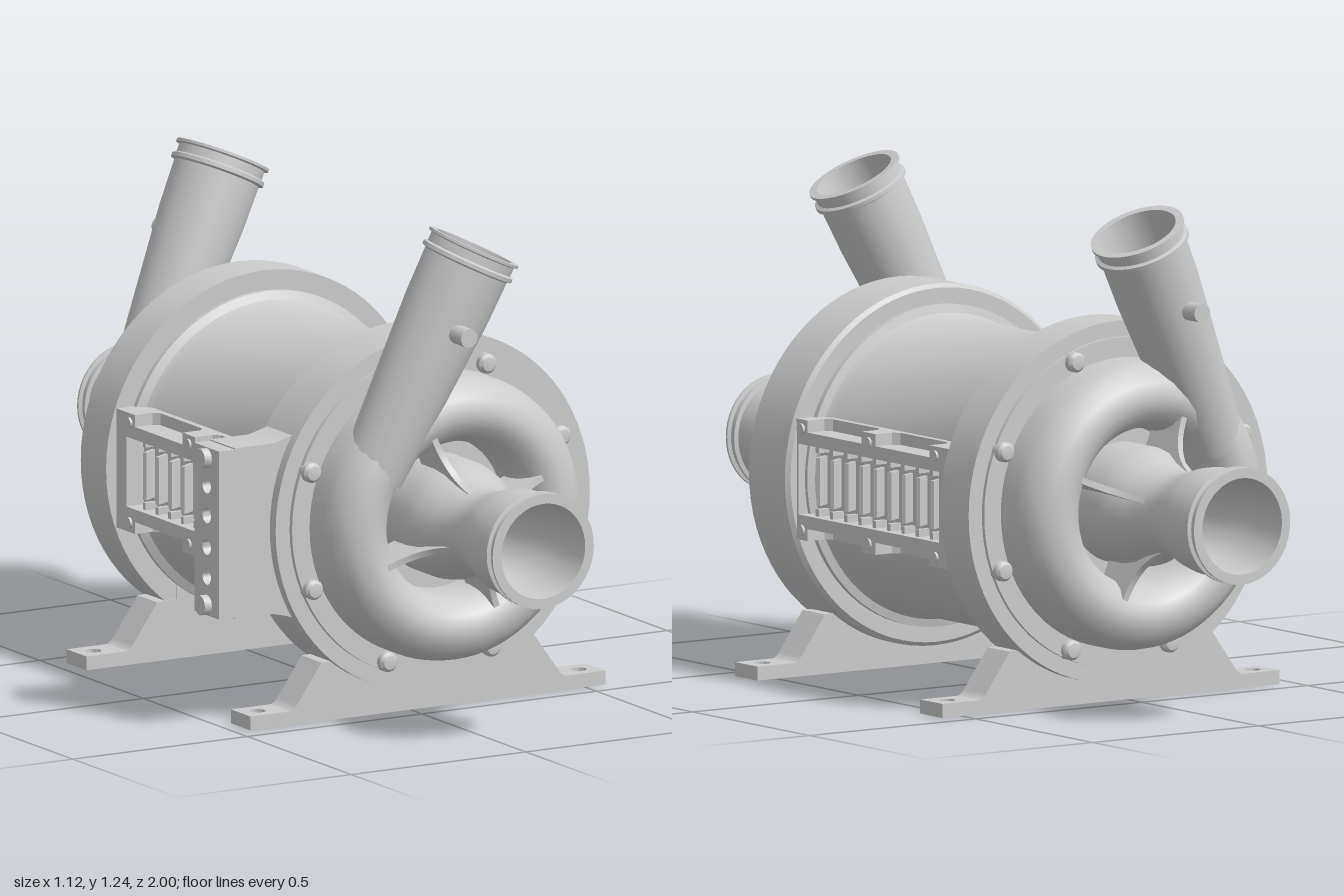
import * as THREE from 'three';
import { toCreasedNormals } from 'three/addons/utils/BufferGeometryUtils.js';

const CX = 0.05, CY = 0.5; // main shaft axis

export function createModel() {
  const model = new THREE.Group();
  model.name = 'twinBlower';
  const mat = new THREE.MeshStandardMaterial({ color: 0xcccccc });

  const add = (parent, name, geo) => {
    const mesh = new THREE.Mesh(toCreasedNormals(geo, 0.6), mat);
    mesh.name = name;
    parent.add(mesh);
    return mesh;
  };
  // copy of a mesh reflected front to back, with the winding turned round
  const addMirrored = (parent, mesh) => {
    const geo = mesh.geometry.clone().scale(1, 1, -1);
    const index = [];
    for (let i = 0; i < geo.attributes.position.count; i += 3) index.push(i, i + 2, i + 1);
    geo.setIndex(index);
    const copy = new THREE.Mesh(geo, mat);
    copy.name = mesh.name;
    parent.add(copy);
  };
  const lathe = (pts, seg = 64) =>
    new THREE.LatheGeometry(pts.map(p => new THREE.Vector2(p[0], p[1])), seg);
  const latheZ = (pts, seg) => lathe(pts, seg).rotateX(Math.PI / 2);
  const poly = pts => new THREE.Shape(pts.map(p => new THREE.Vector2(p[0], p[1])));
  const rect = (x0, y0, x1, y1) => poly([[x0, y0], [x1, y0], [x1, y1], [x0, y1]]);
  const circle = (x, y, r) => new THREE.Path().absarc(x, y, r, 0, Math.PI * 2, true);
  const extrude = (shape, depth) =>
    new THREE.ExtrudeGeometry(shape, { depth, bevelEnabled: false, curveSegments: 12 });
  const box = (w, h, d, x, y, z) => new THREE.BoxGeometry(w, h, d).translate(x, y, z);

  const core = new THREE.Group();
  core.name = 'core';
  core.position.set(CX, CY, 0);
  model.add(core);

  // Motor barrel with filleted ends, and the two end flanges
  add(core, 'barrel', latheZ([[0.4, -0.36], [0.4, -0.335], [0.38, -0.325], [0.37, -0.305],
    [0.37, 0.265], [0.38, 0.285], [0.4, 0.29], [0.4, 0.32]], 80));
  add(core, 'frontFlange', latheZ([[0, 0.305], [0.44, 0.305], [0.45, 0.315], [0.45, 0.468],
    [0.41, 0.468], [0.41, 0.48], [0, 0.48]], 80));
  add(core, 'backFlange', latheZ([[0, -0.48], [0.41, -0.48], [0.41, -0.47], [0.45, -0.47],
    [0.45, -0.348], [0, -0.348]], 80));

  // Everything on the front end is repeated on the back end
  const ends = new THREE.Group();
  ends.name = 'frontEnd';
  core.add(ends);

  add(ends, 'volute', latheZ([[0.36, 0.47], [0.36, 0.545], [0.354, 0.575], [0.338, 0.604],
    [0.313, 0.626], [0.283, 0.635], [0.262, 0.635], [0.236, 0.625], [0.213, 0.603],
    [0.197, 0.575], [0.19, 0.54], [0.19, 0.48]], 72));

  add(ends, 'inletPipe', latheZ([[0.15, 0.48], [0.15, 0.58], [0.142, 0.625], [0.122, 0.665],
    [0.107, 0.71], [0.104, 0.75], [0.112, 0.79], [0.126, 0.835], [0.134, 0.88], [0.134, 0.962],
    [0.145, 0.964], [0.145, 0.972], [0.135, 0.974], [0.135, 0.992], [0.145, 0.994], [0.145, 1],
    [0.12, 1], [0.118, 0.9], [0.108, 0.83], [0.096, 0.76], [0.096, 0.6], [0, 0.6]], 48));

  // Four gusset vanes between inlet and volute
  const vane = new THREE.Shape();
  vane.moveTo(0.1, 0.52);
  vane.lineTo(0.23, 0.52);
  vane.lineTo(0.238, 0.628);
  vane.quadraticCurveTo(0.13, 0.635, 0.1, 0.74);
  for (let i = 0; i < 4; i++) {
    add(ends, 'vane', extrude(vane, 0.016).translate(0, 0, -0.008)
      .rotateX(Math.PI / 2).rotateZ(THREE.MathUtils.degToRad(22 + 90 * i)));
  }

  // Slanted outlet pipe leaving the volute along its tangent
  const from = new THREE.Vector3(-0.165 - CX, 0.66 - CY, 0.555);
  const to = new THREE.Vector3(0.088 - CX, 1.19 - CY, 0.605);
  const L = from.distanceTo(to);
  const aim = new THREE.Quaternion().setFromUnitVectors(
    new THREE.Vector3(0, 1, 0), to.clone().sub(from).normalize());
  add(ends, 'outletPipe', lathe([[0, -0.03], [0.08, -0.03], [0.086, 0.05], [0.098, 0.25],
    [0.108, 0.42], [0.11, L - 0.05], [0.12, L - 0.046], [0.12, L - 0.036], [0.111, L - 0.032],
    [0.111, L - 0.01], [0.12, L - 0.007], [0.12, L], [0.1, L], [0.098, 0.42],
    [0.085, 0.2], [0, 0.2]], 40)
    .applyQuaternion(aim).translate(from.x, from.y, from.z));
  add(ends, 'sensorBoss', new THREE.CylinderGeometry(0.024, 0.024, 0.1, 12)
    .rotateX(Math.PI / 2).translate(-0.01 - CX, 0.995 - CY, 0.695));

  // Flange bolts
  for (let i = 0; i < 8; i++) {
    const a = THREE.MathUtils.degToRad(23.5 + 45 * i);
    add(ends, 'flangeBolt', latheZ([[0.025, 0.46], [0.025, 0.495], [0.018, 0.503], [0, 0.506]], 16)
      .translate(0.387 * Math.cos(a), 0.387 * Math.sin(a), 0));
  }

  const backEnd = new THREE.Group();
  backEnd.name = 'backEnd';
  core.add(backEnd);
  ends.children.forEach(m => addMirrored(backEnd, m));

  // Louvred cooling panel on each flank
  for (const s of [1, -1]) {
    const panel = new THREE.Group();
    panel.name = s > 0 ? 'leftPanel' : 'rightPanel';
    panel.rotation.y = s > 0 ? 0 : Math.PI;
    core.add(panel);

    const frame = rect(-0.36, -0.12, 0.36, 0.12);
    frame.holes.push(rect(-0.3, -0.088, 0.3, 0.088));
    add(panel, 'panelFrame', extrude(frame, 0.09).rotateY(Math.PI / 2).translate(0.33, 0, 0));
    add(panel, 'panelFloor', box(0.05, 0.2, 0.62, 0.345, 0, 0));

    // ledges with two long notches each, above and below
    const ledge = poly([[0.3, -0.36], [0.42, -0.36], [0.42, -0.26], [0.37, -0.26], [0.355, -0.245],
      [0.355, -0.045], [0.37, -0.03], [0.42, -0.03], [0.42, 0.03], [0.37, 0.03], [0.355, 0.045],
      [0.355, 0.245], [0.37, 0.26], [0.42, 0.26], [0.42, 0.36], [0.3, 0.36]]);
    for (const y of [0.15, -0.12]) {
      add(panel, 'panelLedge', extrude(ledge, 0.03).rotateX(Math.PI / 2).translate(0, y, 0));
    }
    for (const y of [0.126, -0.126]) for (const z of [-0.285, 0, 0.285]) {
      add(panel, 'panelScrew', new THREE.CylinderGeometry(0.014, 0.014, 0.02, 12)
        .rotateZ(Math.PI / 2).translate(0.416, y, z));
    }
    for (let i = -4; i <= 4; i++) {
      const z = i * 0.061;
      add(panel, 'louvre', new THREE.BoxGeometry(0.055, 0.12, 0.01)
        .rotateY(0.5).translate(0.385, 0, z));
      for (const y of [0.079, -0.079]) add(panel, 'louvreStop', box(0.035, 0.018, 0.014, 0.385, y, z));
    }
  }

  // Feet: web rising to the flange, on a drilled base plate
  for (const [name, z0] of [['frontFoot', 0.35], ['backFoot', -0.44]]) {
    const foot = new THREE.Group();
    foot.name = name;
    foot.position.set(CX, 0, z0);
    model.add(foot);
    const web = new THREE.Shape();
    web.moveTo(-0.408, 0.03);
    web.lineTo(0.408, 0.03);
    web.quadraticCurveTo(0.385, 0.035, 0.375, 0.05);
    web.lineTo(0.305, 0.148);
    web.lineTo(0.25, 0.15);
    web.lineTo(0.25, 0.2);
    web.lineTo(-0.25, 0.2);
    web.lineTo(-0.25, 0.15);
    web.lineTo(-0.305, 0.148);
    web.lineTo(-0.375, 0.05);
    web.quadraticCurveTo(-0.385, 0.035, -0.408, 0.03);
    add(foot, 'footWeb', extrude(web, 0.095));
    const plate = rect(-0.508, 0, 0.508, 0.095);
    plate.holes.push(circle(-0.46, 0.0475, 0.02), circle(0.46, 0.0475, 0.02));
    add(foot, 'footPlate', extrude(plate, 0.035).rotateX(Math.PI / 2).translate(0, 0.035, 0));
  }

  // Terminal box on the front flange, with a drilled end plate
  const terminal = new THREE.Group();
  terminal.name = 'terminalBox';
  terminal.position.set(0, CY, 0);
  model.add(terminal);
  add(terminal, 'terminalBody', extrude(poly([[-0.5, -0.215], [-0.39, -0.215], [-0.35, -0.225],
    [-0.25, -0.26], [-0.25, 0.26], [-0.35, 0.225], [-0.39, 0.215], [-0.5, 0.215]]), 0.12)
    .translate(0, 0, 0.32));
  const cover = rect(-0.06, -0.212, 0.06, 0.212);
  for (const y of [-0.115, -0.04, 0.04, 0.115]) cover.holes.push(circle(0, y, 0.02));
  add(terminal, 'terminalCover', extrude(cover, 0.05).rotateY(-Math.PI / 2).translate(-0.495, 0, 0.38));
  for (const y of [-0.185, 0.185]) {
    add(terminal, 'terminalBolt', new THREE.CylinderGeometry(0.025, 0.025, 0.03, 16)
      .rotateZ(Math.PI / 2).translate(-0.55, y, 0.38));
  }
  return model;
}
